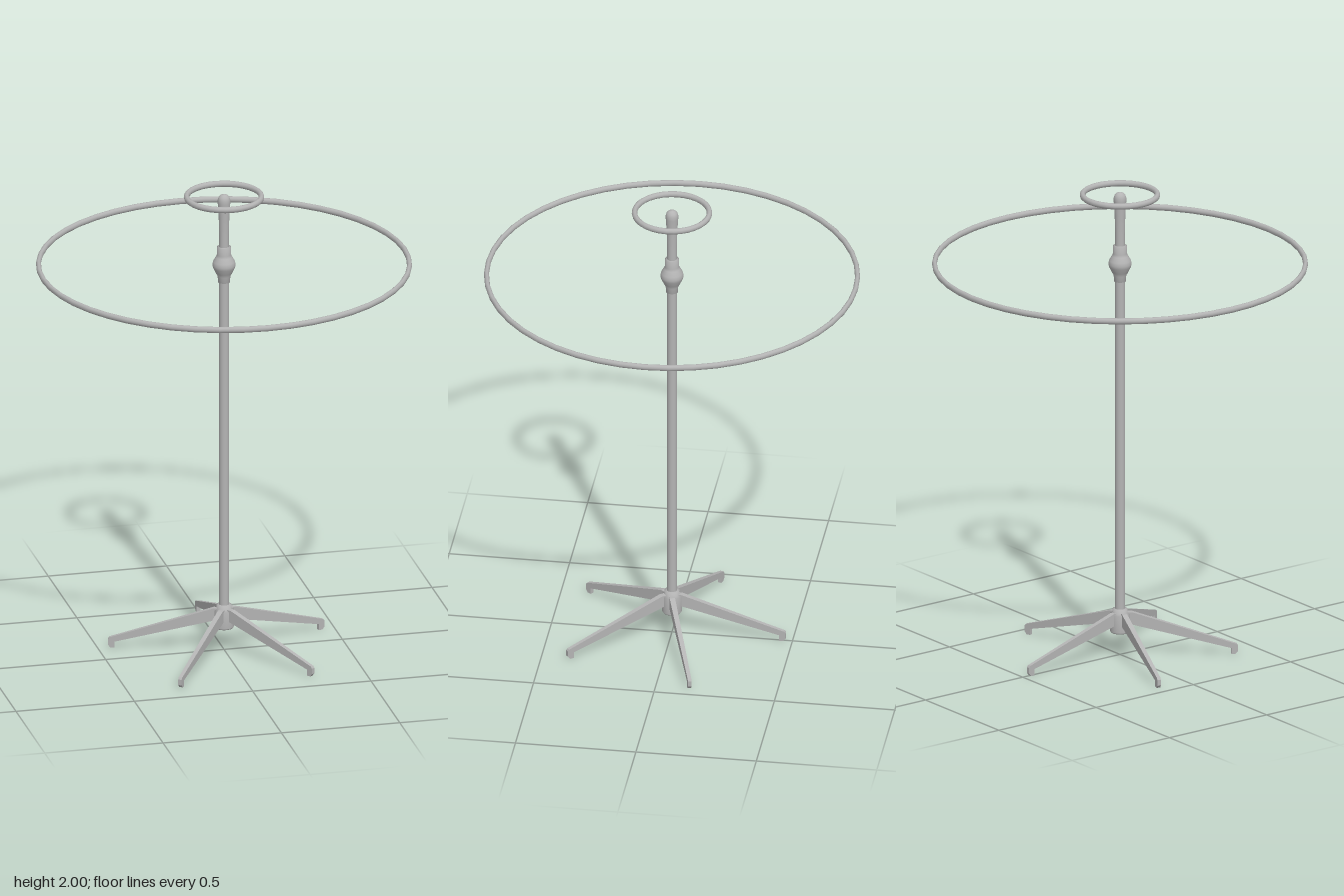
import * as THREE from 'three';

export function createModel() {
  const group = new THREE.Group();
  const metal = new THREE.MeshStandardMaterial({ color: 0xb4b4b4 });
  metal.name = 'grey metal';

  const add = (name, geometry, parent = group) => {
    const mesh = new THREE.Mesh(geometry, metal);
    mesh.name = name;
    parent.add(mesh);
    return mesh;
  };
  const lathe = (name, points, sides = 20) =>
    add(name, new THREE.LatheGeometry(points.map(([r, y]) => new THREE.Vector2(r, y)), sides));
  // Ring with a tube slightly taller than it is wide
  const ring = (name, radius, tube, y, segments) => {
    const geometry = new THREE.TorusGeometry(radius, tube, 10, segments);
    geometry.scale(1, 1, 0.013 / tube);
    const mesh = add(name, geometry);
    mesh.rotation.x = Math.PI / 2;
    mesh.position.y = y;
  };

  // Long pole
  const pole = add('pole', new THREE.CylinderGeometry(0.0205, 0.0205, 1.5, 16));
  pole.position.y = 0.9;

  // Upper stem, flaring to a domed tip
  lathe('upperStem', [
    [0.02, 1.62], [0.02, 1.82], [0.022, 1.9], [0.026, 1.96], [0.026, 1.975],
    [0.022, 1.988], [0.013, 1.996], [0, 1.999],
  ]);

  // Bulged collar level with the large ring
  lathe('collar', [
    [0.018, 1.615], [0.025, 1.615], [0.026, 1.64], [0.034, 1.655], [0.045, 1.677],
    [0.048, 1.69], [0.045, 1.705], [0.034, 1.725], [0.029, 1.735], [0.029, 1.768], [0.018, 1.77],
  ], 24);

  // Floating rings
  ring('largeRing', 0.762, 0.0105, 1.69, 48);
  ring('smallRing', 0.154, 0.0115, 1.987, 32);

  // Base hub
  lathe('baseHub', [
    [0, 0.1], [0.038, 0.1], [0.042, 0.106], [0.042, 0.178], [0.031, 0.184], [0.031, 0.2], [0.018, 0.202],
  ]);

  // Five sloping legs with turned-down feet, tapering in width outward
  const side = new THREE.Shape([
    [0.025, 0.138], [0.452, 0.028], [0.452, 0.002], [0.469, 0.002], [0.479, 0.014],
    [0.479, 0.038], [0.473, 0.046], [0.045, 0.186], [0.025, 0.186],
  ].map(([x, y]) => new THREE.Vector2(x, y)));
  const legGeometry = new THREE.ExtrudeGeometry(side, { depth: 1, bevelEnabled: false });
  const p = legGeometry.attributes.position;
  for (let i = 0; i < p.count; i++) {
    const width = 0.023 - 0.016 * p.getX(i);
    p.setZ(i, (p.getZ(i) - 0.5) * width);
  }
  legGeometry.computeVertexNormals();
  const legs = new THREE.Group();
  legs.name = 'legs';
  legs.position.z = 0.006;
  group.add(legs);
  for (let i = 0; i < 5; i++) {
    const leg = add('leg' + (i + 1), legGeometry, legs);
    leg.rotation.y = Math.PI / 2 + (i * Math.PI * 2) / 5;
  }

  return group;
}
